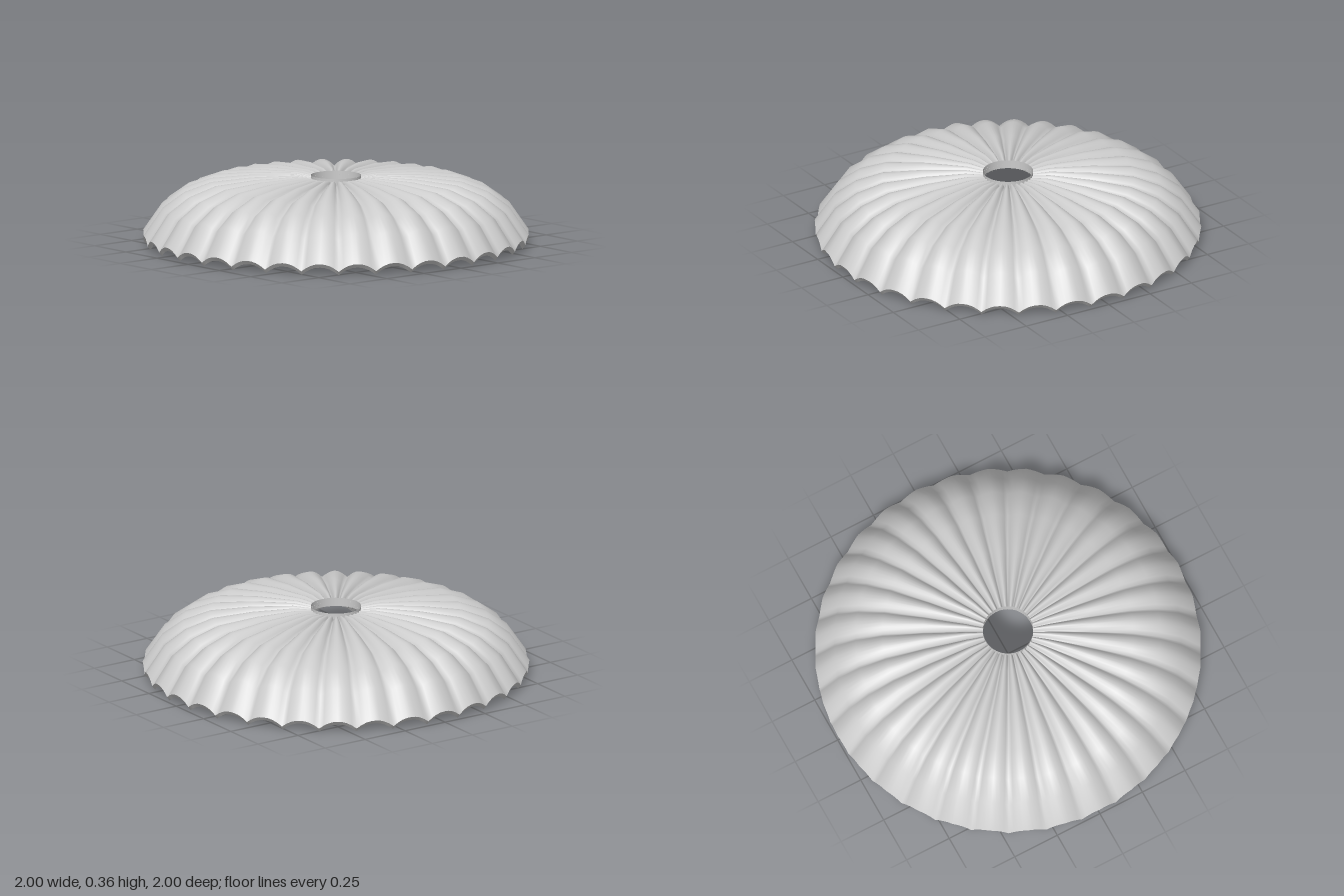
import * as THREE from 'three';
import { mergeVertices } from 'three/addons/utils/BufferGeometryUtils.js';

const GORES = 32;
const STEPS = 8; // segments across each gore
const STEP_ANGLE = (Math.PI * 2) / GORES;

// Turns a profile of [radius, height], then sinks the seams between the gores.
function pleatedSheet(profile) {
  const points = profile.map(([r, y]) => new THREE.Vector2(r, y));
  const lathe = new THREE.LatheGeometry(points, GORES * STEPS);
  lathe.deleteAttribute('uv');
  lathe.deleteAttribute('normal');
  const pos = lathe.attributes.position;
  for (let i = 0; i < pos.count; i++) {
    const x = pos.getX(i), z = pos.getZ(i);
    const r = Math.hypot(x, z);
    const angle = Math.atan2(x, z);
    // offset from the crown of the gore, -0.5 to 0.5
    const t = angle / STEP_ANGLE - Math.round(angle / STEP_ANGLE);
    const depth = 0.024 + 0.016 * r;
    // straight plan edges between crowns
    const flat = Math.cos(STEP_ANGLE / 2) / Math.cos((0.5 - Math.abs(t)) * STEP_ANGLE);
    pos.setXYZ(i, x * flat, pos.getY(i) - depth * 4 * t * t, z * flat);
  }
  const geometry = mergeVertices(lathe, 1e-5);
  geometry.computeVertexNormals();
  return geometry;
}

export function createModel() {
  const model = new THREE.Group();
  const material = new THREE.MeshStandardMaterial({ color: 0xcccccc });
  const doubleSided = new THREE.MeshStandardMaterial({ color: 0xcccccc, side: THREE.DoubleSide });

  const add = (name, geometry, mat = material) => {
    const mesh = new THREE.Mesh(geometry, mat);
    mesh.name = name;
    model.add(mesh);
  };

  // Crown line of a gore, from the hem up to the vent
  const outer = [
    [1, 0.06], [0.9, 0.205], [0.79, 0.283], [0.65, 0.334],
    [0.44, 0.355], [0.22, 0.36], [0.13, 0.347],
  ];
  const inner = [
    [0.985, 0.04], [0.887, 0.192], [0.782, 0.268], [0.645, 0.319],
    [0.438, 0.34], [0.22, 0.345], [0.13, 0.332],
  ];

  add('canopyOuter', pleatedSheet(outer));
  add('canopyInner', pleatedSheet([...inner].reverse()));

  // Scalloped hem closing the lower edge
  add('hem', pleatedSheet([inner[0], outer[0]]), doubleSided);

  // Narrow band around the central vent
  const band = new THREE.CylinderGeometry(0.13, 0.13, 0.045, 64, 1, true);
  band.translate(0, 0.337, 0);
  add('ventBand', band, doubleSided);

  return model;
}
